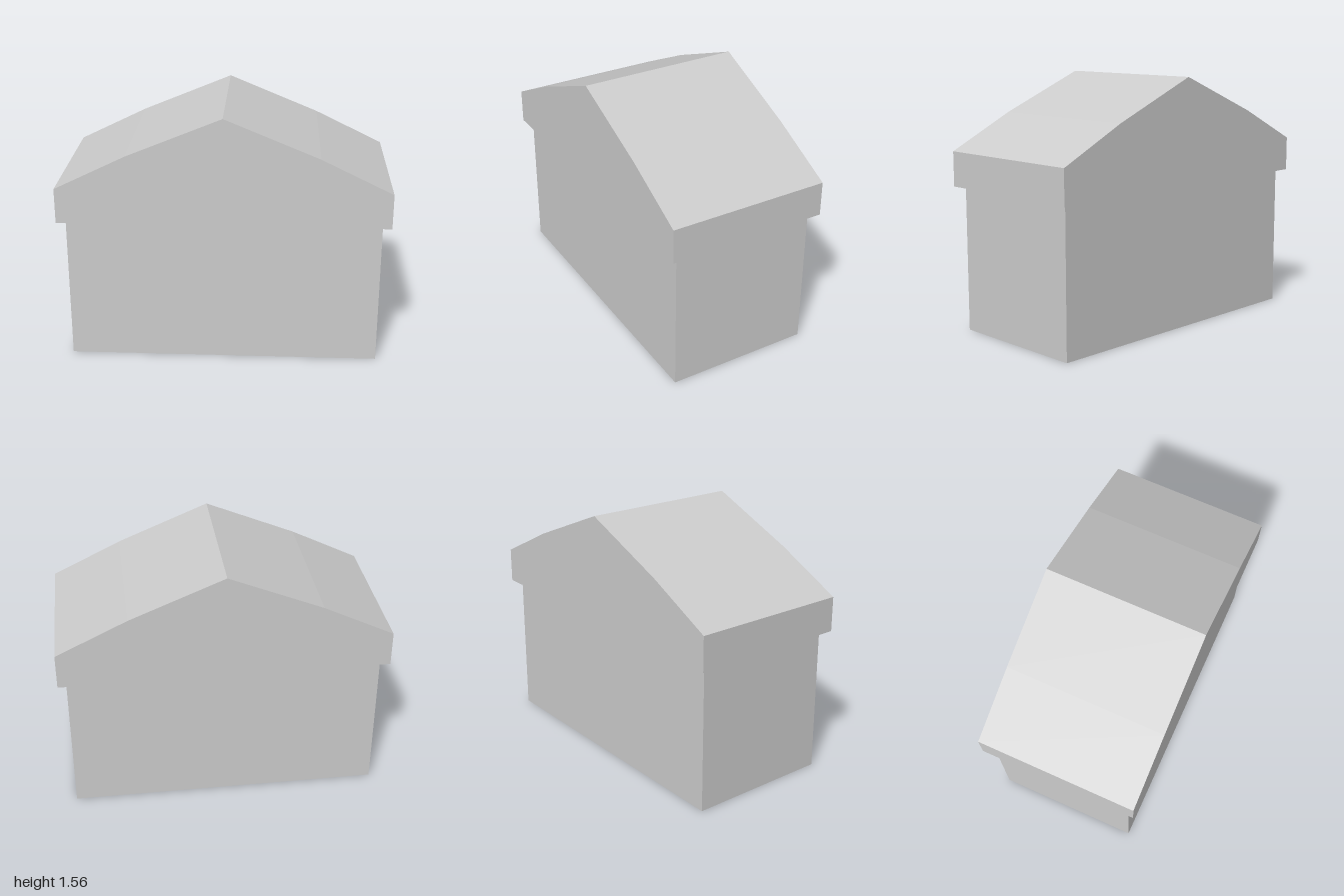
import * as THREE from 'three';

export function createModel() {
  const model = new THREE.Group();
  const material = new THREE.MeshStandardMaterial({ color: 0xcccccc, flatShading: true });
  const add = (name, geometry) => {
    const mesh = new THREE.Mesh(geometry, material);
    mesh.name = name;
    model.add(mesh);
    return mesh;
  };

  // Plain box body
  const bodyHeight = 0.9;
  add('body', new THREE.BoxGeometry(1.9, bodyHeight, 0.9)).position.y = bodyHeight / 2;

  // Overhanging gabled lid, each slope slightly bent; half profile is mirrored
  const half = [[1, 0.9], [1, 1.115], [0.57, 1.325]];
  const mirrored = half.map(([x, y]) => [-x, y]).reverse();
  const profile = [...half, [0, 1.56], ...mirrored].map(([x, y]) => new THREE.Vector2(x, y));
  const depth = 1;
  const roof = new THREE.ExtrudeGeometry(new THREE.Shape(profile), { depth, bevelEnabled: false });
  add('roof', roof.translate(0, 0, -depth / 2));

  return model;
}
